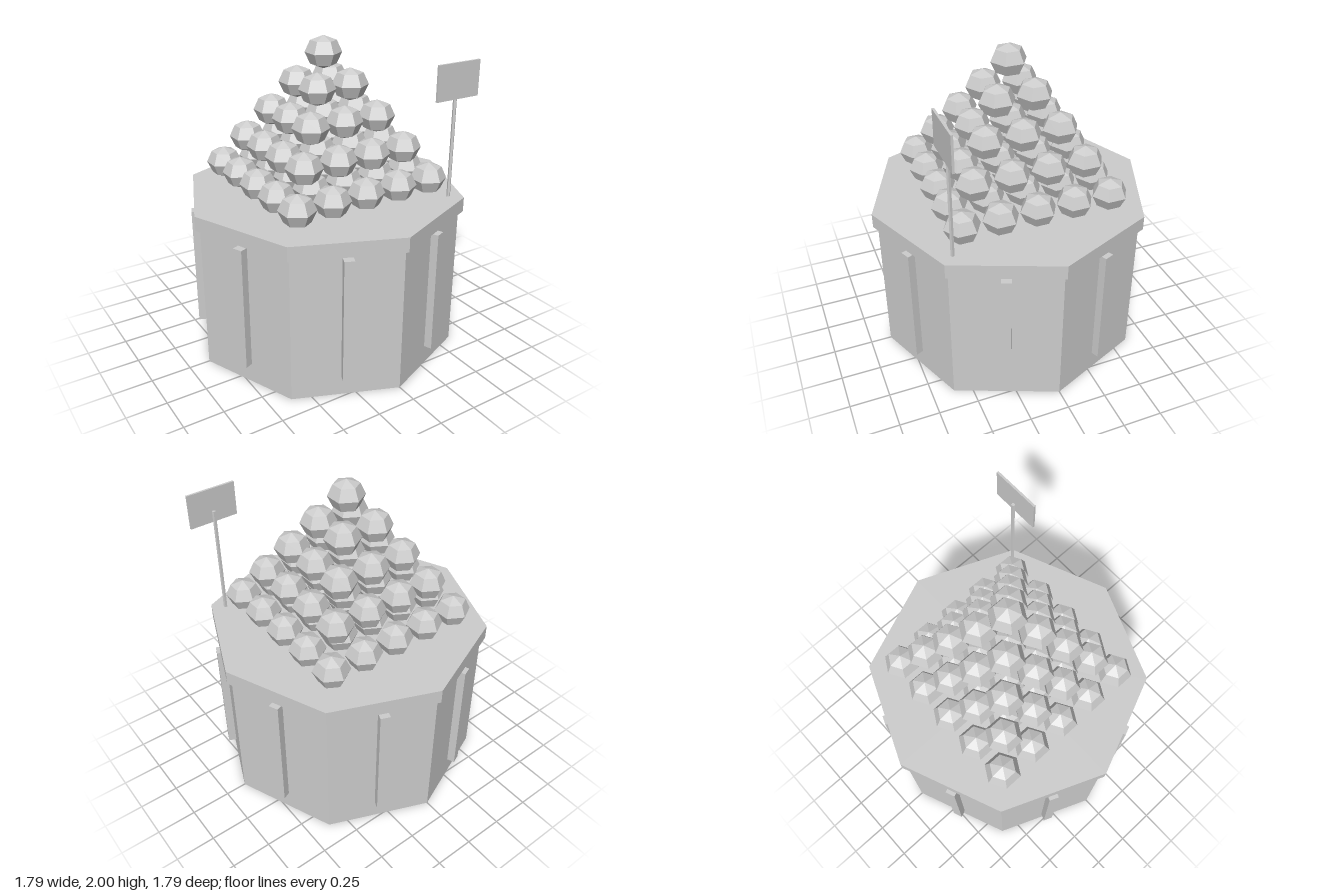
import * as THREE from 'three';

const grey = new THREE.MeshStandardMaterial({ color: 0xcccccc, flatShading: true });
grey.name = 'light grey';

function addPart(parent, name, geometry, x = 0, y = 0, z = 0) {
  const mesh = new THREE.Mesh(geometry, grey);
  mesh.name = name;
  mesh.position.set(x, y, z);
  parent.add(mesh);
  return mesh;
}

// Eight-sided barrel with an overhanging slab and one slat per side
function buildStand() {
  const stand = new THREE.Group();
  stand.name = 'stand';
  addPart(stand, 'barrel', new THREE.CylinderGeometry(0.867, 0.867, 0.934, 8), 0, 0.467, 0);
  addPart(stand, 'tableTop', new THREE.CylinderGeometry(0.897, 0.897, 0.093, 8), 0, 0.98, 0);
  const slat = new THREE.BoxGeometry(0.062, 0.79, 0.06);
  for (let i = 0; i < 8; i++) {
    const a = (i + 0.5) * Math.PI / 4;
    addPart(stand, 'slat', slat, Math.sin(a) * 0.82, 0.523, Math.cos(a) * 0.82).rotation.y = a;
  }
  return stand;
}

// Square pyramid of faceted fruit, five to a side at the bottom
function buildFruitPile() {
  const pile = new THREE.Group();
  pile.name = 'fruitPile';
  const fruit = new THREE.SphereGeometry(0.114, 6, 4);
  fruit.rotateY(Math.PI / 2);
  fruit.scale(1, 0.89, 1);
  const step = 0.236;
  for (let layer = 0; layer < 5; layer++) {
    const count = 5 - layer;
    const start = -(count - 1) * step / 2;
    for (let i = 0; i < count; i++) {
      for (let j = 0; j < count; j++) {
        addPart(pile, 'fruit', fruit, start + i * step, 1.142 + layer * 0.189, start + j * step);
      }
    }
  }
  return pile;
}

// Price sign on a thin post at the front left corner
function buildSign() {
  const sign = new THREE.Group();
  sign.name = 'sign';
  addPart(sign, 'signPost', new THREE.CylinderGeometry(0.012, 0.012, 0.72, 5), 0.567, 1.375, 0.564);
  addPart(sign, 'signBoard', new THREE.BoxGeometry(0.316, 0.22, 0.014), 0.565, 1.768, 0.583);
  return sign;
}

export function createModel() {
  const model = new THREE.Group();
  model.name = 'fruitStand';
  model.add(buildStand(), buildFruitPile(), buildSign());
  return model;
}
